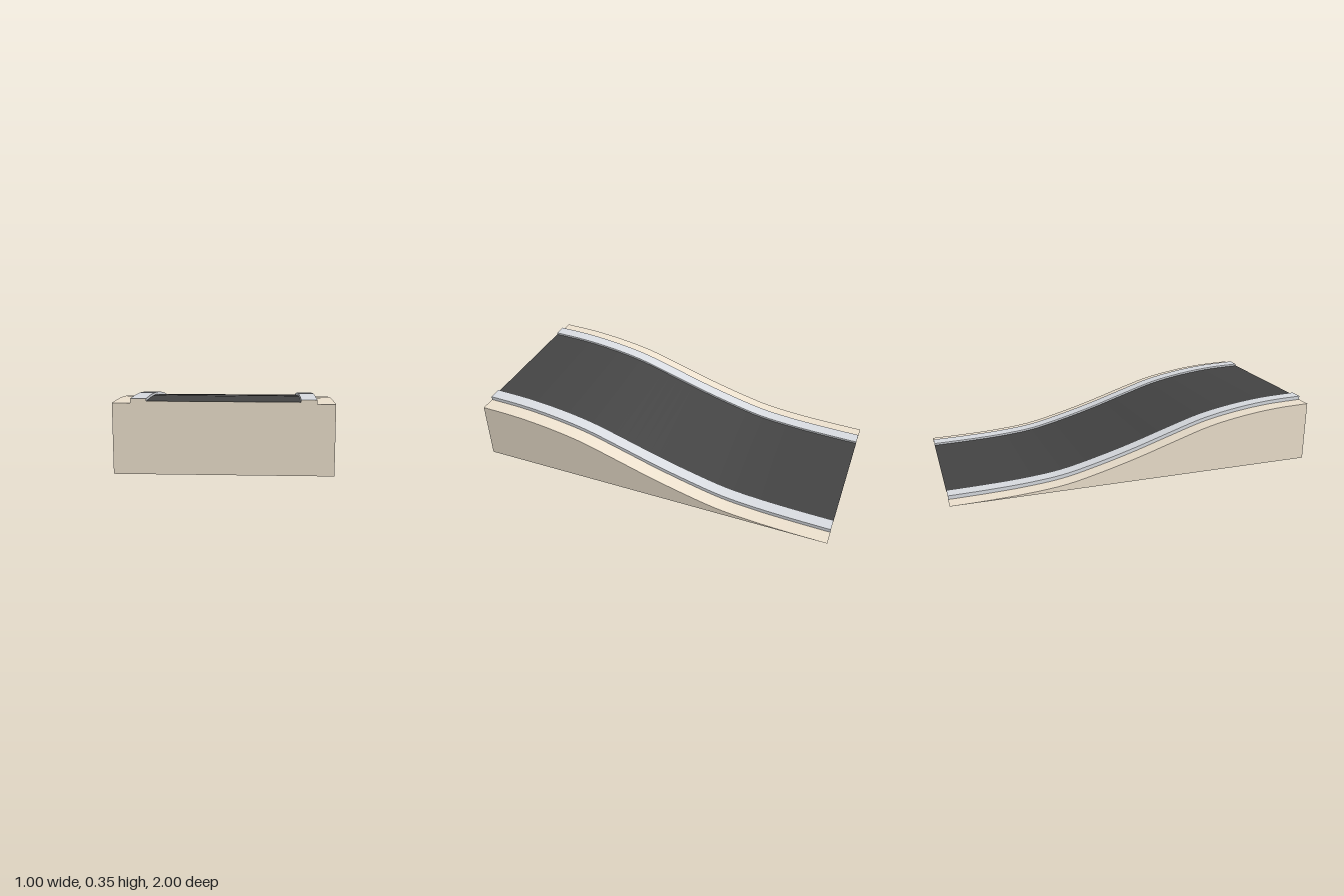
import * as THREE from 'three';

const SEGMENTS = 40;

// Ground height along the length, from the high front end to the low back end: (z, y)
const slope = new THREE.SplineCurve([
  [1, 0.328], [0.8, 0.321], [0.6, 0.299], [0.4, 0.261], [0.2, 0.2], [0, 0.136],
  [-0.2, 0.08], [-0.4, 0.034], [-0.6, 0.013], [-0.8, 0.004], [-1, 0],
].map(([z, y]) => new THREE.Vector2(z, y)));

// Cross-section in x and height above the ground line
const GROUND_X = 0.5, KERB_X = 0.417, ROAD_X = 0.346;
const ROAD_Y = 0.009, KERB_Y = 0.02;

const material = (color) => new THREE.MeshStandardMaterial({ color, side: THREE.DoubleSide });

// Strip swept along the slope between two section points [x, lift]; lift null means the floor
function strip(name, a, b, mat) {
  const positions = [], index = [];
  for (let i = 0; i <= SEGMENTS; i++) {
    const p = slope.getPoint(i / SEGMENTS);
    for (const [x, lift] of [a, b]) {
      positions.push(x, lift === null ? 0 : Math.max(p.y, 0) + lift, p.x);
    }
    if (i < SEGMENTS) {
      const k = i * 2;
      index.push(k, k + 1, k + 3, k, k + 3, k + 2);
    }
  }
  const geometry = new THREE.BufferGeometry();
  geometry.setAttribute('position', new THREE.Float32BufferAttribute(positions, 3));
  geometry.setIndex(index);
  geometry.computeVertexNormals();
  const mesh = new THREE.Mesh(geometry, mat);
  mesh.name = name;
  return mesh;
}

export function createModel() {
  const model = new THREE.Group();
  model.name = 'slopedRoad';
  const sand = material(0xeee2cf);
  const stone = material(0xdadde2);
  const asphalt = material(0x444444);

  // Road surface
  model.add(strip('roadSurface', [-ROAD_X, ROAD_Y], [ROAD_X, ROAD_Y], asphalt));

  // Side wall, verge and raised kerb on each side
  for (const [side, s] of [['left', 1], ['right', -1]]) {
    const add = (part, a, b, mat) => {
      const ends = [[a[0] * s, a[1]], [b[0] * s, b[1]]];
      if (s < 0) ends.reverse();
      model.add(strip(side + part, ends[0], ends[1], mat));
    };
    add('KerbInnerFace', [ROAD_X, ROAD_Y], [ROAD_X, KERB_Y], stone);
    add('KerbTop', [ROAD_X, KERB_Y], [KERB_X, KERB_Y], stone);
    add('KerbOuterFace', [KERB_X, KERB_Y], [KERB_X, 0], stone);
    add('Verge', [KERB_X, 0], [GROUND_X, 0], sand);
    add('SideWall', [GROUND_X, 0], [GROUND_X, null], sand);
  }

  // Front wall closing the high end, following the cross-section
  const top = slope.getPoint(0).y;
  const half = [
    [GROUND_X, 0], [GROUND_X, top], [KERB_X, top], [KERB_X, top + KERB_Y],
    [ROAD_X, top + KERB_Y], [ROAD_X, top + ROAD_Y],
  ];
  const outline = [...half, ...half.map(([x, y]) => [-x, y]).reverse()];
  const wall = new THREE.Mesh(
    new THREE.ShapeGeometry(new THREE.Shape(outline.map(([x, y]) => new THREE.Vector2(x, y)))),
    sand);
  wall.name = 'frontWall';
  wall.position.z = 1;
  model.add(wall);

  return model;
}
